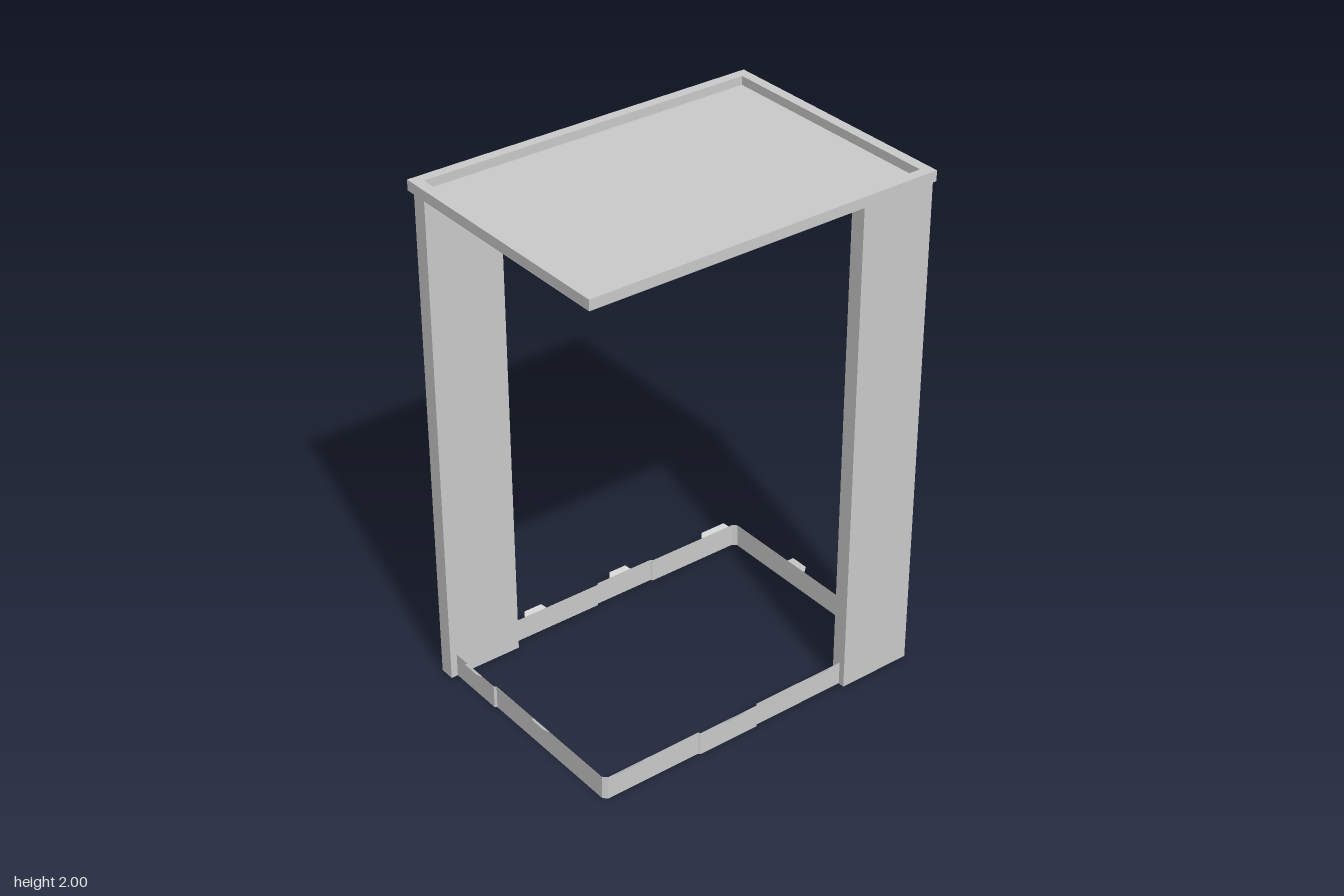
import * as THREE from 'three';

const grey = new THREE.MeshStandardMaterial({ color: 0xcccccc, flatShading: true, side: THREE.DoubleSide });

function addMesh(parent, name, geometry) {
  const mesh = new THREE.Mesh(geometry, grey);
  mesh.name = name;
  parent.add(mesh);
  return mesh;
}

// Extrudes a floor-plan outline (with an optional hole) from height y0 to y1.
function slab(outline, hole, y0, y1) {
  const plan = (pts) => pts.map(([x, z]) => new THREE.Vector2(x, -z));
  const shape = new THREE.Shape(plan(outline));
  if (hole) shape.holes.push(new THREE.Path(plan(hole)));
  const g = new THREE.ExtrudeGeometry(shape, { depth: y1 - y0, bevelEnabled: false });
  return g.rotateX(-Math.PI / 2).translate(0, y0, 0);
}

// Tray outline, very slightly skewed, moved in by an inset.
function trayOutline(i) {
  return [[-0.71 + i, -0.51 + i], [0.712 - i, -0.51 + i], [0.706 - i, 0.505 - i], [-0.716 + i, 0.505 - i]];
}

function rect(x0, x1, z0, z1) {
  return [[x0, z0], [x1, z0], [x1, z1], [x0, z1]];
}

// Thin strip standing on a plan path.
function ribbon(path, height) {
  const pos = [];
  for (let i = 0; i + 1 < path.length; i++) {
    const [ax, az] = path[i], [bx, bz] = path[i + 1];
    pos.push(ax, 0, az, bx, 0, bz, bx, height, bz);
    pos.push(ax, 0, az, bx, height, bz, ax, height, az);
  }
  const g = new THREE.BufferGeometry();
  g.setAttribute('position', new THREE.Float32BufferAttribute(pos, 3));
  g.computeVertexNormals();
  return g;
}

// Small flap with clipped corners, leaning outward (+z) as it rises.
function tabGeometry(width) {
  const w = width / 2, c = 0.012, rise = 0.011, out = 0.018;
  const pos = [-w, 0, 0, w, 0, 0, w - c, rise, out, -w, 0, 0, w - c, rise, out, -w + c, rise, out];
  const g = new THREE.BufferGeometry();
  g.setAttribute('position', new THREE.Float32BufferAttribute(pos, 3));
  g.computeVertexNormals();
  return g;
}

// One leg with its L-shaped half of the base frame.
function createHalf() {
  const half = new THREE.Group();
  half.name = 'legAndBaseHalf';
  const railTop = 0.095, fx = -0.665, fz = 0.465, jog = 0.008;

  // Hollow leg
  addMesh(half, 'leg', slab(rect(0.4, 0.7, 0.43, 0.49), rect(0.408, 0.692, 0.438, 0.482), 0, 1.962));

  // Base rail with a chamfered corner and shallow overlap steps
  addMesh(half, 'baseRail', ribbon([
    [0.405, fz], [0.008, fz], [0.003, fz + jog], [-0.25, fz + jog], [-0.257, fz],
    [fx + 0.015, fz], [fx, fz - 0.015],
    [fx, -0.185], [fx - jog, -0.192], [fx - jog, -0.435],
  ], railTop));

  // Flaps along the long rail, then the short rail
  for (const [x, w] of [[-0.565, 0.135], [-0.105, 0.1], [0.295, 0.1]]) {
    const onStep = x > -0.25 && x < 0;
    addMesh(half, 'longRailTab', tabGeometry(w)).position.set(x, railTop, fz + (onStep ? jog : 0));
  }
  for (const z of [0.095, -0.31]) {
    const tab = addMesh(half, 'shortRailTab', tabGeometry(0.1));
    tab.position.set(fx - (z < -0.19 ? jog : 0), railTop, z);
    tab.rotation.y = -Math.PI / 2;
  }
  return half;
}

export function createModel() {
  const model = new THREE.Group();
  model.name = 'trayTable';

  // Tray: sunken panel inside a folded rim that is open underneath
  const tray = new THREE.Group();
  tray.name = 'tray';
  addMesh(tray, 'trayPanel', slab(trayOutline(0.04), null, 1.96, 1.966));
  addMesh(tray, 'rimInnerWall', slab(trayOutline(0.036), trayOutline(0.04), 1.96, 1.994));
  addMesh(tray, 'rimLip', slab(trayOutline(0), trayOutline(0.04), 1.994, 2));
  addMesh(tray, 'rimOuterWall', slab(trayOutline(0), trayOutline(0.004), 1.96, 1.994));
  model.add(tray);

  // Two identical halves, turned half a revolution from each other
  for (const turn of [0, Math.PI]) {
    const half = createHalf();
    half.position.set(-0.005, 0, 0.01);
    half.rotation.y = turn;
    model.add(half);
  }
  return model;
}
